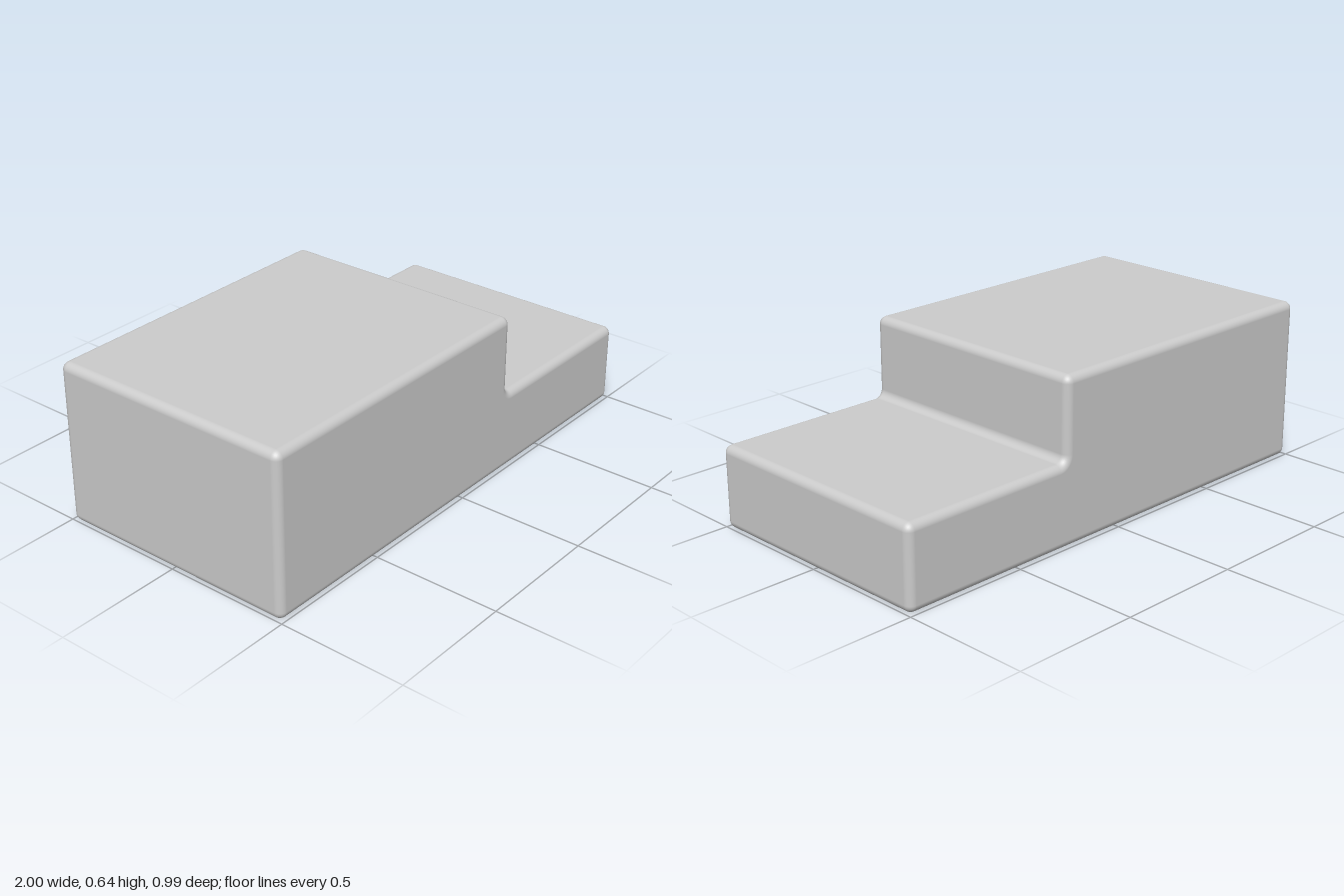
import * as THREE from 'three';

const R = 0.03;      // edge rounding
const H = 0.497;     // half depth
const SEG = 8;       // steps per rounded quarter

// Stepped outline, counter-clockwise: x, y of the arc centre, first and last normal angle (degrees), sign.
// Sign -1 marks the hollow fillet at the foot of the step.
const corners = [
  [-1 + R, R, 180, 270, 1],
  [1 - R, R, 270, 360, 1],
  [1 - R, 0.32 - R, 0, 90, 1],
  [0.27 + R, 0.32 + R, 90, 0, -1],
  [0.27 - R, 0.637 - R, 0, 90, 1],
  [-1 + R, 0.637 - R, 90, 180, 1],
];

// Outline grown outward by "grow" from the flat side face.
function outline(grow) {
  const pts = [];
  for (const [cx, cy, a0, a1, sign] of corners) {
    const rad = sign > 0 ? grow : 2 * R - grow;
    for (let i = 0; i <= SEG; i++) {
      const a = THREE.MathUtils.degToRad(a0 + (a1 - a0) * i / SEG);
      const nx = Math.cos(a), ny = Math.sin(a);
      pts.push({ x: cx + sign * rad * nx, y: cy + sign * rad * ny, nx, ny });
    }
  }
  return pts;
}

function steppedBlockGeometry() {
  const position = [], normal = [], index = [];
  const n = corners.length * (SEG + 1);
  const rings = 2 * (SEG + 1);

  // Cross-sections from front to back, rounding over at both ends
  for (let k = 0; k < rings; k++) {
    const front = k <= SEG;
    const phi = (front ? k : k - 1) / SEG * Math.PI / 2;
    const s = Math.sin(phi), c = Math.cos(phi);
    const z = (front ? 1 : -1) * (H - R) + R * c;
    for (const p of outline(R * s)) {
      position.push(p.x, p.y, z);
      normal.push(p.nx * s, p.ny * s, c);
    }
  }
  for (let k = 0; k < rings - 1; k++) {
    for (let i = 0; i < n; i++) {
      const j = (i + 1) % n;
      const a = k * n + i, b = k * n + j;
      index.push(a, a + n, b, b, a + n, b + n);
    }
  }

  // Flat front and back faces
  const flat = outline(0).map((p) => new THREE.Vector2(p.x, p.y));
  const last = (rings - 1) * n;
  for (const [a, b, c] of THREE.ShapeUtils.triangulateShape(flat, [])) {
    index.push(a, b, c, last + a, last + c, last + b);
  }

  const geo = new THREE.BufferGeometry();
  geo.setAttribute('position', new THREE.Float32BufferAttribute(position, 3));
  geo.setAttribute('normal', new THREE.Float32BufferAttribute(normal, 3));
  geo.setIndex(index);
  return geo;
}

export function createModel() {
  const group = new THREE.Group();
  group.name = 'steppedBlock';
  const block = new THREE.Mesh(steppedBlockGeometry(), new THREE.MeshStandardMaterial({ color: 0xcccccc }));
  block.name = 'roundedStepBody';
  group.add(block);
  return group;
}
